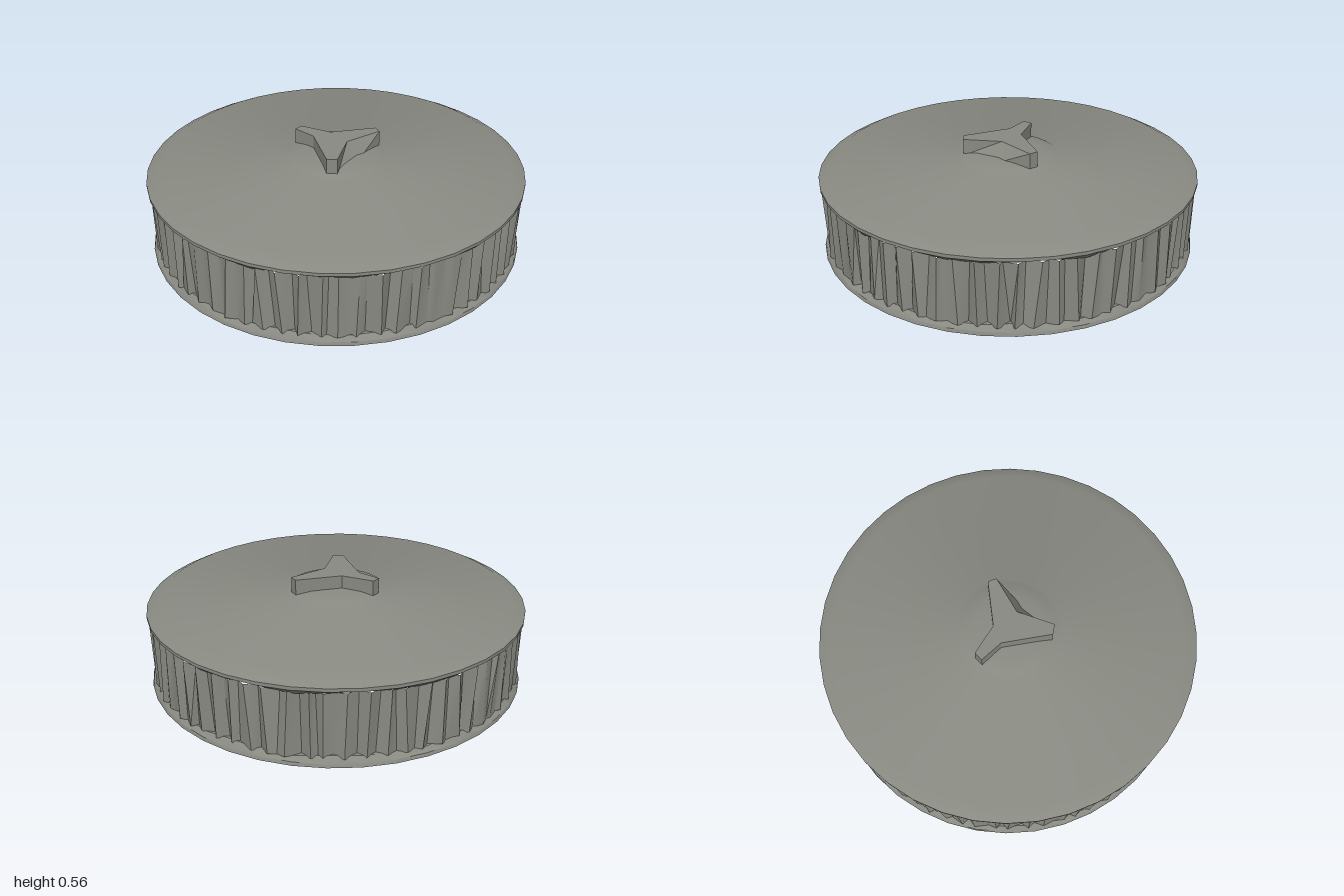
import * as THREE from 'three';
import { toCreasedNormals } from 'three/addons/utils/BufferGeometryUtils.js';

// small seeded random generator
function seeded(seed) {
  return () => {
    seed = (seed * 1664525 + 1013904223) % 4294967296;
    return seed / 4294967296;
  };
}

// joins stacked rings of points [x, y, z] with quads; rings run counter-clockwise seen from above
function loft(rings, capTop) {
  const pos = [], index = [], n = rings[0].length;
  rings.forEach(r => r.forEach(p => pos.push(...p)));
  for (let k = 0; k < rings.length - 1; k++) {
    for (let i = 0; i < n; i++) {
      const a = k * n + i, b = k * n + (i + 1) % n;
      index.push(a, b, b + n, a, b + n, a + n);
    }
  }
  if (capTop) {
    const top = rings[rings.length - 1];
    const flat = top.map(p => new THREE.Vector2(p[0], -p[2]));
    const base = (rings.length - 1) * n;
    THREE.ShapeUtils.triangulateShape(flat, []).forEach(f => index.push(...f.map(i => base + i)));
  }
  const g = new THREE.BufferGeometry();
  g.setAttribute('position', new THREE.Float32BufferAttribute(pos, 3));
  g.setIndex(index);
  return g;
}

export function createModel() {
  const model = new THREE.Group();
  const metal = new THREE.MeshStandardMaterial({ color: 0x888a82 });
  metal.name = 'grey metal';

  const add = (name, geometry, crease = 0.5) => {
    const mesh = new THREE.Mesh(toCreasedNormals(geometry, crease), metal);
    mesh.name = name;
    model.add(mesh);
  };

  // turned plate; points near the filter get a slightly wavy height
  const plate = (profile, wavyFrom, wavyTo, seed) => {
    const g = new THREE.LatheGeometry(profile.map(p => new THREE.Vector2(...p)), 40);
    const p = g.attributes.position;
    for (let i = 0; i < p.count; i++) {
      const y = p.getY(i);
      if (y < wavyFrom || y > wavyTo) continue;
      const a = Math.atan2(p.getZ(i), p.getX(i));
      p.setY(i, y + 0.007 * Math.sin(11 * a + seed) + 0.004 * Math.sin(17 * a + 2 * seed));
    }
    return g;
  };

  add('bottomPlate', plate(
    [[0, 0.012], [0.82, 0.008], [0.84, 0], [0.92, 0.005], [0.99, 0.018], [0.985, 0.035], [0.96, 0.058], [0.9, 0.062]],
    0.05, 0.07, 1));

  add('topPlate', plate(
    [[0.9, 0.375], [0.96, 0.378], [0.985, 0.398], [0.985, 0.415], [0.91, 0.452], [0.28, 0.456], [0.25, 0.472], [0.17, 0.486], [0, 0.488]],
    0.36, 0.39, 2));

  // irregular pleated paper between the plates
  const rand = seeded(7);
  const folds = 136;
  const rings = [[], []];
  for (let i = 0; i < folds; i++) {
    const outer = i % 2 === 0;
    [0.05, 0.385].forEach((y, k) => {
      const a = (i + (rand() - 0.5) * 0.85) / folds * Math.PI * 2;
      const r = outer ? 0.967 + rand() * 0.012 : 0.938 + rand() * 0.025;
      rings[k].push([r * Math.cos(a), y, -r * Math.sin(a)]);
    });
  }
  add('pleatedFilter', loft(rings), 0.6);

  // three-armed wing nut, with one web sloping out at its foot
  const outline = web => [
    [-0.03, 0.235], [0.025, 0.235], web, [0.225, -0.1], [0.2, -0.14],
    [-0.035, -0.07], [-0.195, -0.135], [-0.225, -0.095], [-0.12, -0.015],
  ];
  const nutRing = (y, web) => outline(web).map(([x, z]) => [x, y, z]);
  add('wingNut', loft([nutRing(0.465, [0.125, 0.06]), nutRing(0.555, [0.06, 0.035])], true));

  return model;
}
